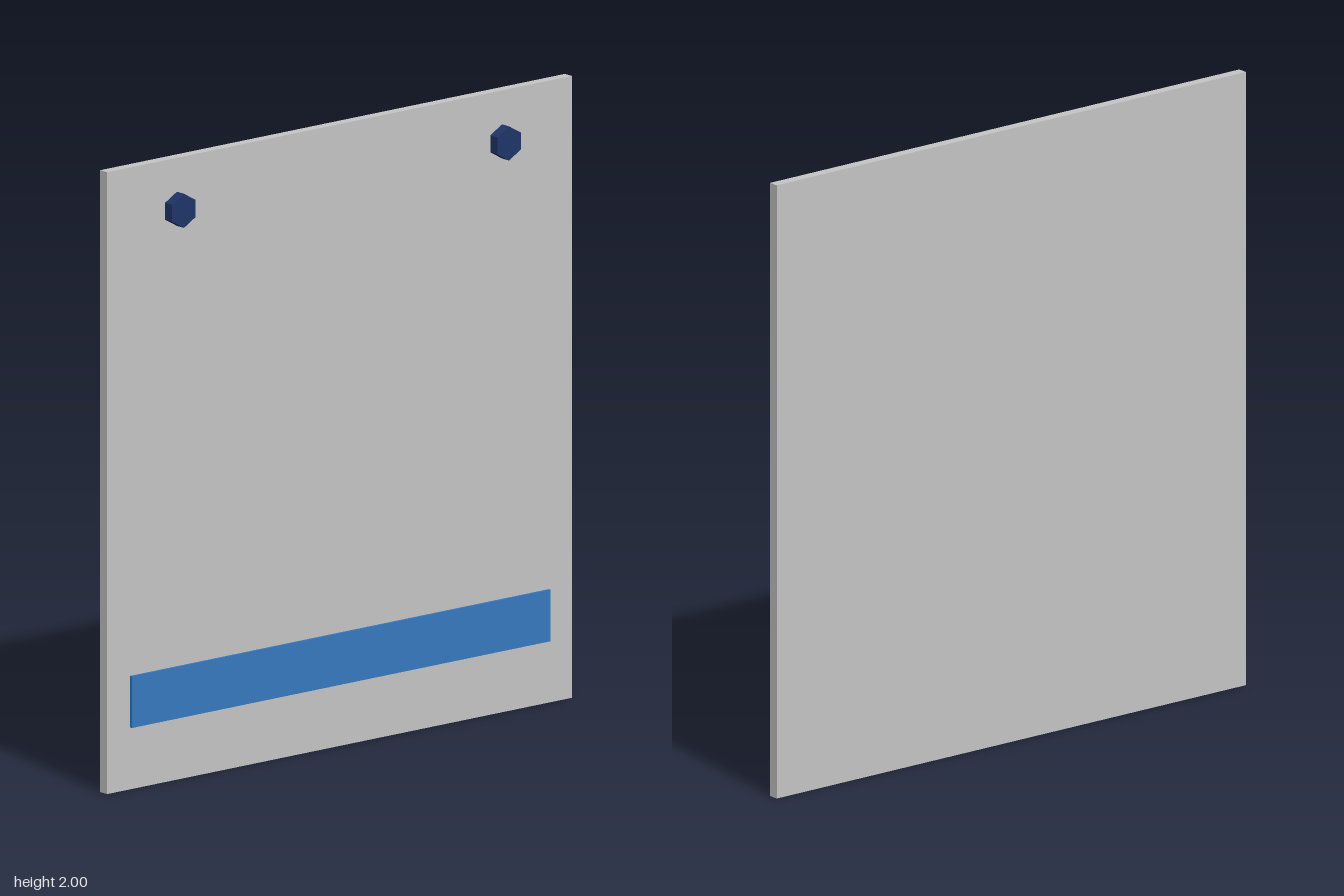
import * as THREE from 'three';

function material(name, color) {
  const m = new THREE.MeshStandardMaterial({ color });
  m.name = name;
  return m;
}

export function createModel() {
  const grey = material('panelGrey', 0xc4c4c4);
  const blue = material('stripBlue', 0x3579be);
  const navy = material('boltNavy', 0x1f3569);
  const model = new THREE.Group();
  model.name = 'wallPanel';

  const add = (name, geometry, mat, x, y, z) => {
    const mesh = new THREE.Mesh(geometry, mat);
    mesh.name = name;
    mesh.position.set(x, y, z);
    model.add(mesh);
  };

  // Backing board, its front face on z = 0
  add('panel', new THREE.BoxGeometry(1.89, 2, 0.034), grey, 0, 1, -0.017);

  // Thin strip along the lower front
  add('strip', new THREE.BoxGeometry(1.702, 0.166, 0.009), blue, 0, 0.282, 0.0045);

  // Hexagonal bolt heads with a corner pointing up
  const hex = new THREE.CylinderGeometry(0.055, 0.055, 0.034, 6).toNonIndexed();
  hex.rotateX(Math.PI / 2);
  hex.computeVertexNormals();
  for (const side of [-1, 1]) {
    add(side > 0 ? 'leftBolt' : 'rightBolt', hex, navy, side * 0.661, 1.836, 0.017);
  }

  return model;
}
